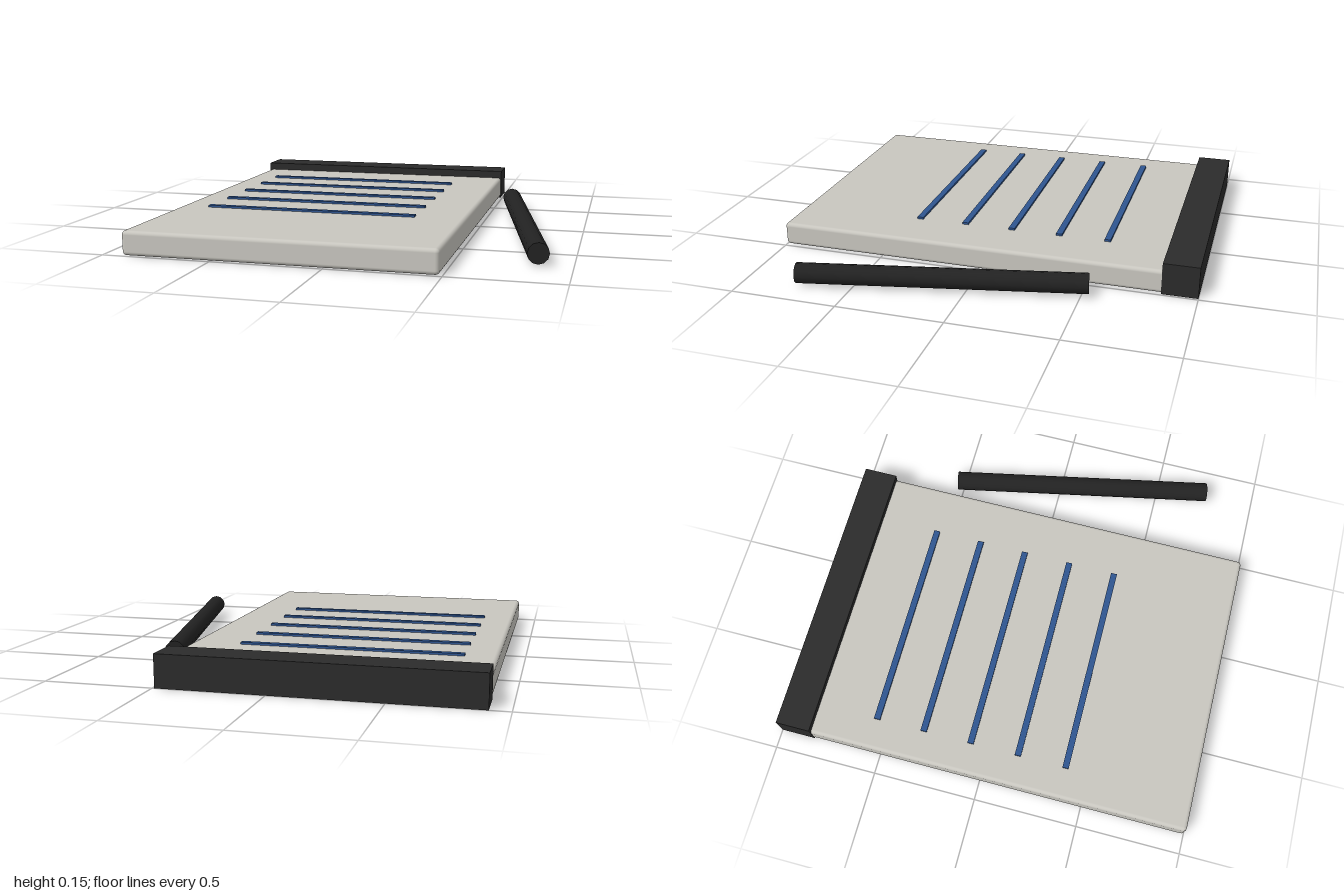
import * as THREE from 'three';
import { RoundedBoxGeometry } from 'three/addons/geometries/RoundedBoxGeometry.js';

export function createModel() {
  const paper = new THREE.MeshStandardMaterial({ color: 0xc8c6bf });
  paper.name = 'paper';
  const binding = new THREE.MeshStandardMaterial({ color: 0x2b2b2b });
  binding.name = 'binding black';
  const ink = new THREE.MeshStandardMaterial({ color: 0x2f5590 });
  ink.name = 'ink blue';
  const penBlack = new THREE.MeshStandardMaterial({ color: 0x222222 });
  penBlack.name = 'pen black';

  const model = new THREE.Group();
  model.name = 'notepadAndPen';
  const add = (parent, name, geometry, material, x, y, z) => {
    const mesh = new THREE.Mesh(geometry, material);
    mesh.name = name;
    mesh.position.set(x, y, z);
    parent.add(mesh);
    return mesh;
  };

  const notepad = new THREE.Group();
  notepad.name = 'notepad';
  notepad.position.x = -0.21;
  model.add(notepad);

  // Softly rounded paper block, tucked just inside the binding
  add(notepad, 'pad', new RoundedBoxGeometry(1.396, 0.11, 1.99, 3, 0.018), paper, 0, 0.057, 0.005);

  // Square binding strip along the back edge
  add(notepad, 'binding', new THREE.BoxGeometry(1.4, 0.15, 0.165), binding, 0, 0.075, -0.9175);

  // Five written lines
  const line = new THREE.BoxGeometry(1.02, 0.0098, 0.03);
  for (let i = 0; i < 5; i++) {
    add(notepad, `writtenLine${i + 1}`, line, ink, -0.045, 0.117, -0.545 + i * 0.233);
  }

  // Pen lying at a slant beside the pad
  const penShape = new THREE.CylinderGeometry(0.047, 0.047, 1.31, 12).rotateX(Math.PI / 2);
  add(model, 'pen', penShape, penBlack, 0.723, 0.058, 0.11).rotation.y = 0.204;

  return model;
}
